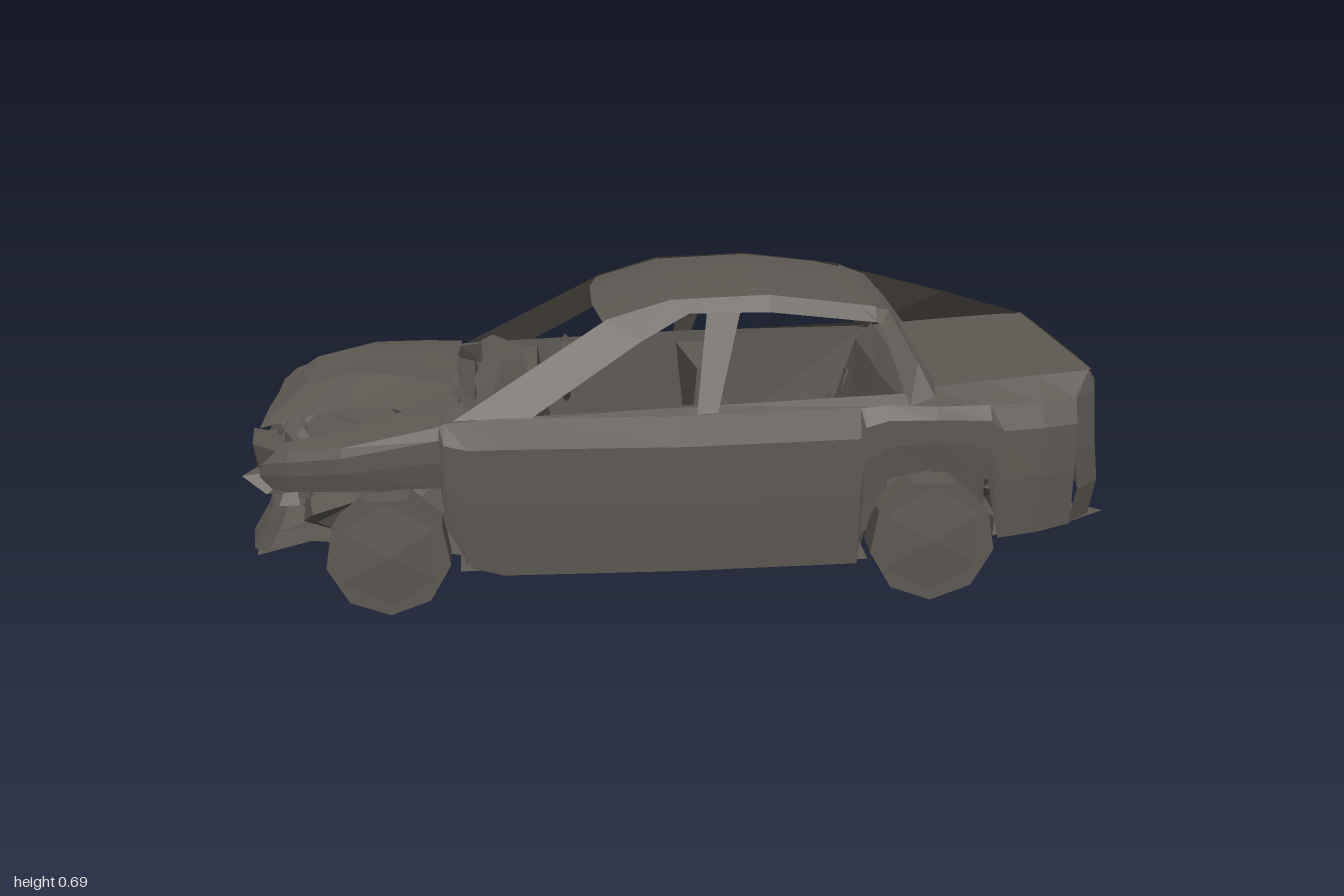
import * as THREE from 'three';

const paint = new THREE.MeshStandardMaterial({ color: 0x5d5852, flatShading: true, side: THREE.DoubleSide });
paint.name = 'dull grey brown';

// Seeded noise in -1..1
let seed = 7;
const rnd = () => {
  seed = (seed * 16807) % 2147483647;
  return (seed / 2147483647) * 2 - 1;
};

export function createModel() {
  const car = new THREE.Group();
  car.name = 'wreckedCar';

  const add = (name, geo) => {
    const m = new THREE.Mesh(geo, paint);
    m.name = name;
    car.add(m);
    return m;
  };

  // Sheet through rows of [x, y, z] points, optionally crumpled
  const sheet = (name, rows, dent = 0) => {
    const n = rows[0].length, pos = [], idx = [];
    rows.forEach(r => r.forEach(p => p.forEach(v => pos.push(v + rnd() * dent))));
    for (let i = 0; i < rows.length - 1; i++)
      for (let j = 0; j < n - 1; j++) {
        const a = i * n + j, b = a + 1, c = a + n, d = c + 1;
        idx.push(a, c, b, b, c, d);
      }
    const g = new THREE.BufferGeometry();
    g.setAttribute('position', new THREE.Float32BufferAttribute(pos, 3));
    g.setIndex(idx);
    g.computeVertexNormals();
    return add(name, g);
  };

  // Bent lump: a box whose corners are pushed about
  const lump = (name, c, s, dent) => {
    const g = new THREE.BoxGeometry(...s);
    const p = g.attributes.position, moved = {};
    for (let i = 0; i < p.count; i++) {
      const k = [p.getX(i), p.getY(i), p.getZ(i)].map(v => (v > 0 ? 1 : 0)).join('');
      const o = (moved[k] ??= [rnd() * dent, rnd() * dent, rnd() * dent]);
      p.setXYZ(i, p.getX(i) + o[0], p.getY(i) + o[1], p.getZ(i) + o[2]);
    }
    g.computeVertexNormals();
    add(name, g).position.set(...c);
  };

  for (const s of [1, -1]) {
    const side = s > 0 ? 'left' : 'right';

    // Flank: [x, bottom, top, half width]
    const flank = [
      [-0.93, 0.27, 0.34, 0.30], [-0.86, 0.28, 0.365, s > 0 ? 0.36 : 0.335],
      [-0.74, 0.29, 0.385, s > 0 ? 0.40 : 0.375], [-0.53, 0.29, 0.425, 0.39],
      [-0.52, 0.19, 0.43, 0.385], [-0.47, 0.1, 0.435, 0.385], [-0.4, 0.08, 0.44, 0.385],
      [0, 0.083, 0.44, 0.395], [0.39, 0.09, 0.45, 0.395], [0.4, 0.23, 0.45, 0.395],
      [0.45, 0.29, 0.455, 0.395], [0.56, 0.31, 0.45, 0.398], [0.68, 0.28, 0.45, 0.392],
      [0.71, 0.14, 0.45, 0.39], [0.8, 0.15, 0.452, 0.384], [0.88, 0.163, 0.455, 0.37]
    ];
    sheet(side + 'Flank', [0, 1, 2, 3].map(k => flank.map(([x, b, t, w]) => [
      x, b + (t - b) * [0, 0.45, 0.82, 1][k], s * w * [0.975, 1, 1, 0.945][k]])));
    sheet(side + 'Sill', [0.975, 0.8].map(f => flank.slice(3, 13).map(([x, b, , w]) => [x, b, s * w * f])));
    // Flat top of the front wing
    sheet(side + 'WingTop', [0, 1].map(k => flank.slice(0, 6).map(([x, , t, w]) => [
      x, t + 0.012 * k, s * (k ? Math.min(0.29, w * 0.85) : w * 0.945)])));

    // Windscreen pillar, roof rail, door pillar
    sheet(side + 'FrontPillar', [
      [[-0.5, 0.435, s * 0.36], [-0.16, 0.63, s * 0.25], [-0.02, 0.672, s * 0.25], [0.2, 0.68, s * 0.25], [0.44, 0.65, s * 0.25]],
      [[-0.33, 0.44, s * 0.366], [-0.09, 0.585, s * 0.288], [0.02, 0.645, s * 0.272], [0.2, 0.645, s * 0.272], [0.44, 0.618, s * 0.272]]
    ]);
    sheet(side + 'DoorPillar', [
      [[0.03, 0.44, s * 0.37], [0.06, 0.65, s * 0.268]],
      [[0.075, 0.44, s * 0.37], [0.135, 0.65, s * 0.268]]
    ]);
    // Waist ledge, rising toward the back
    sheet(side + 'WaistRail', [
      [[-0.4, 0.435, s * 0.366], [0.05, 0.44, s * 0.373], [0.5, 0.45, s * 0.373]],
      [[-0.4, 0.435, s * 0.345], [0.05, 0.455, s * 0.35], [0.54, 0.475, s * 0.345]]
    ]);
    sheet(side + 'DoorLining', [
      [[-0.4, 0.435, s * 0.35], [0.05, 0.455, s * 0.35], [0.54, 0.47, s * 0.35]],
      [[-0.4, 0.1, s * 0.34], [0.05, 0.1, s * 0.35], [0.4, 0.12, s * 0.34]]
    ], 0.008);

    // Shoulder between the flank and the boot lid
    sheet(side + 'RearShoulder', [
      [[0.5, 0.45, s * 0.373], [0.68, 0.45, s * 0.37], [0.8, 0.452, s * 0.363], [0.88, 0.455, s * 0.35]],
      [[0.54, 0.475, s * 0.31], [0.68, 0.487, s * 0.305], [0.8, 0.496, s * 0.3], [0.925, 0.505, s * 0.29]]
    ]);
    // Rear pillar: whole on the right, only a strut on the left
    sheet(side + 'RearPillar', s < 0
      ? [[[0.38, 0.66, -0.245], [0.52, 0.625, -0.25], [0.72, 0.57, -0.265], [0.93, 0.505, -0.28]],
        [[0.42, 0.615, -0.275], [0.52, 0.45, -0.372], [0.72, 0.45, -0.367], [0.9, 0.455, -0.34]]]
      : [[[0.4, 0.655, 0.25], [0.45, 0.61, 0.278], [0.5, 0.45, 0.373]],
        [[0.47, 0.64, 0.245], [0.53, 0.53, 0.3], [0.56, 0.465, 0.35]],
        [[0.5, 0.605, 0.23], [0.55, 0.52, 0.28], [0.57, 0.48, 0.3]]]);

    // Wheels with a slightly bulged outer cap
    for (const [end, x, r] of [['Front', -0.65, 0.138], ['Rear', 0.56, 0.143]]) {
      const z = s * 0.34;
      const tyre = add(side + end + 'Wheel', new THREE.CylinderGeometry(r, r * 0.97, 0.095, 9));
      tyre.rotation.x = s * Math.PI / 2;
      tyre.position.set(x, r * 0.985, z);
      const cap = add(side + end + 'Hub', new THREE.ConeGeometry(r * 0.9, 0.012, 6));
      cap.rotation.x = s * Math.PI / 2;
      cap.position.set(x, r, z + s * 0.053);
    }
    // Broken headlamp, suspension and seats
    lump(side + 'Headlamp', [-0.88, 0.31, s * 0.25], [0.1, 0.1, 0.12], 0.03);
    lump(side + 'FrontStrut', [-0.66, 0.27, s * 0.25], [0.16, 0.18, 0.08], 0.05);
    lump(side + 'RearStrut', [0.57, 0.24, s * 0.26], [0.22, 0.2, 0.06], 0.04);
    lump(side + 'FrontSeat', [-0.06, 0.17, s * 0.17], [0.26, 0.1, 0.22], 0.025);
    lump(side + 'FrontSeatBack', [0.09, 0.31, s * 0.17], [0.07, 0.24, 0.2], 0.025);
  }

  // Roof and the torn edge of the rear window
  sheet('roof', [[-0.17, 0.628], [-0.02, 0.672], [0.2, 0.681], [0.38, 0.66], [0.45, 0.645]].map(([x, y], i) =>
    [-0.25, -0.1, 0.1, 0.25].map((z, j) => [x - (i === 0 && j % 3 ? 0.02 : 0), y + (j % 3 ? 0.004 : -0.004), z])));
  sheet('roofRearEdge', [0, 1].map(k =>
    [-0.255, 0, 0.24].map((z, j) => [0.44 + 0.07 * k, 0.648 - [0.028, 0.03, 0.045][j] * k, z])));

  // Boot lid
  sheet('bootLid', [[0.54, 0.475], [0.7, 0.488], [0.93, 0.506]].map(([x, y]) =>
    [-0.31, -0.1, 0.1, 0.31].map(z => [x, y, z * (x > 0.9 ? 0.935 : 0.99)])));

  // Rounded tail: [y, depth, width factor]
  const around = [[-0.36, -0.1], [-0.3, -0.035], [-0.19, 0], [0, 0.012], [0.19, 0], [0.3, -0.035], [0.36, -0.1]];
  sheet('tail', [[0.506, 0.935, 0.81], [0.455, 0.975, 0.975], [0.34, 0.978, 1.03], [0.25, 0.988, 1.035], [0.165, 0.975, 1.005]]
    .map(([y, x, f]) => around.map(([z, d]) => [x + d * (y > 0.5 ? 0.1 : 1), y, z * f])));
  sheet('rearUnderside', [[0.96, 0.165], [0.87, 0.12], [0.78, 0.12], [0.68, 0.17], [0.45, 0.16], [0.4, 0.1]].map(([x, y]) =>
    [-0.29, -0.15, 0, 0.15, 0.29].map(z => [x, y, z])), 0.022);
  lump('silencer', [0.8, 0.14, 0.12], [0.14, 0.07, 0.2], 0.025);
  lump('rearAxle', [0.56, 0.14, 0], [0.07, 0.06, 0.56], 0.02);
  for (let i = 0; i < 7; i++)
    lump('rearDebris' + i, [0.63 + rnd() * 0.18, 0.17 + rnd() * 0.03, -0.24 + i * 0.08], [0.12, 0.06, 0.1], 0.035);

  // Floor, bulkhead, dashboard, rear bench
  sheet('floor', [-0.5, -0.2, 0.1, 0.41].map(x => [-0.37, -0.12, 0.12, 0.37].map(z => [x, 0.09, z])), 0.012);
  sheet('bulkhead', [0.1, 0.25, 0.41].map(y => [-0.36, -0.18, 0, 0.18, 0.36].map(z => [-0.48, y, z])), 0.025);
  sheet('cowl', [[-0.47, 0.43], [-0.42, 0.445], [-0.35, 0.41]].map(([x, y]) =>
    [-0.34, -0.18, 0, 0.18, 0.34].map(z => [x, y, z])), 0.015);
  lump('dashboard', [-0.35, 0.34, 0], [0.1, 0.13, 0.64], 0.03);
  lump('console', [-0.18, 0.2, 0], [0.34, 0.1, 0.08], 0.03);
  // Bent steering wheel
  const wheel = add('steeringWheel', new THREE.TorusGeometry(0.075, 0.01, 4, 8));
  wheel.rotation.set(0, Math.PI / 2, 0.35);
  wheel.position.set(-0.25, 0.42, -0.14);
  lump('rearBench', [0.36, 0.19, 0], [0.18, 0.1, 0.6], 0.02);
  sheet('rearBenchBack', [[0.42, 0.18], [0.5, 0.44], [0.54, 0.475]].map(([x, y]) =>
    [-0.31, 0, 0.31].map(z => [x, y, z])), 0.006);

  // Bonnet, sprung open and buckled: [x, y, width factor, edge drop]
  sheet('bonnet', [[-0.93, 0.405, 0.86, 0.01], [-0.85, 0.455, 0.97, 0.035], [-0.73, 0.487, 1, 0.04],
    [-0.6, 0.472, 1, 0.025], [-0.51, 0.455, 1, 0.008]].map(([x, y, f, drop]) =>
    [-0.33, -0.15, 0, 0.13, 0.28].map((z, j) => [x, y - (j % 4 ? 0 : drop), z * f])), 0.004);

  // Crumpled nose and front apron
  sheet('crushedNose', [[0.38, -0.915], [0.3, -0.945], [0.23, -0.925], [0.17, -0.96], [0.115, -0.985]].map(([y, x]) =>
    [-0.31, -0.21, -0.1, 0, 0.1, 0.21, 0.31].map(z => [x + 0.7 * z * z, y, z])), 0.018);
  sheet('frontUnderside', [-0.95, -0.82, -0.68, -0.5].map(x =>
    [-0.28, -0.14, 0, 0.14, 0.28].map(z => [x, 0.12, z])), 0.022);
  sheet('engineCover', [-0.88, -0.76, -0.63, -0.5].map(x =>
    [-0.3, -0.16, 0, 0.16, 0.3].map(z => [x, 0.34, z])), 0.03);

  // Broken engine parts
  for (let i = 0; i < 16; i++)
    lump('engineDebris' + i, [-0.72 + rnd() * 0.17, 0.23 + rnd() * 0.07, rnd() * 0.23],
      [0.11, 0.09, 0.12], 0.04);

  // Torn strips along the nose
  for (let i = 0; i < 12; i++) {
    const z = -0.3 + i * 0.05, y = 0.18 + Math.abs(rnd()) * 0.18;
    sheet('tornStrip' + i, [
      [[-0.94 + z * z * 0.5, y, z], [-0.85, y + 0.05, z + 0.03]],
      [[-0.92 + z * z * 0.5, y - 0.05, z + 0.04], [-0.84, y - 0.02, z + 0.06]]
    ], 0.02);
  }
  return car;
}
